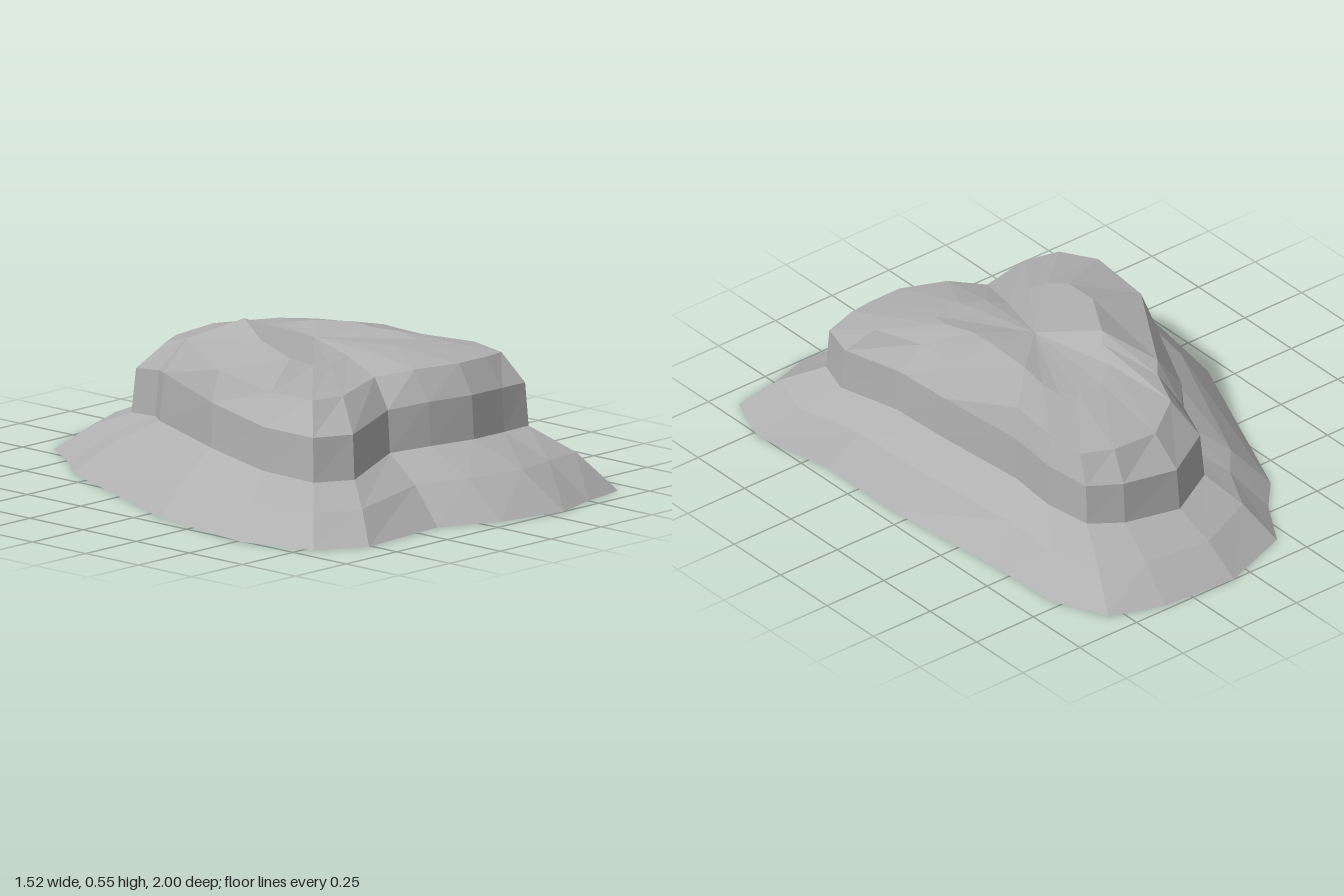
import * as THREE from 'three';

// Outline rings as [x, y, z], running back -> left flank -> front -> right flank
const base = [
  [0.07, -1], [0.36, -0.98], [0.55, -0.91], [0.64, -0.71], [0.65, -0.45],
  [0.7, 0.08], [0.7, 0.42], [0.76, 0.72], [0.68, 0.92], [0.5, 0.95],
  [0.33, 1], [0.07, 0.95], [-0.14, 0.85], [-0.51, 0.88], [-0.68, 0.78],
  [-0.76, 0.52], [-0.69, 0.07], [-0.41, -0.61], [-0.31, -0.72], [-0.2, -0.9],
].map(([x, z]) => [x, 0, z]);

const foot = [
  [0.08, 0.15, -0.72], [0.29, 0.16, -0.68], [0.4, 0.165, -0.61], [0.44, 0.18, -0.45], [0.44, 0.2, -0.28],
  [0.5, 0.23, 0.05], [0.51, 0.23, 0.28], [0.56, 0.22, 0.52], [0.51, 0.215, 0.66], [0.4, 0.21, 0.65],
  [0.25, 0.21, 0.65], [0.09, 0.205, 0.6], [-0.05, 0.195, 0.54], [-0.33, 0.165, 0.64], [-0.46, 0.165, 0.57],
  [-0.51, 0.185, 0.38], [-0.43, 0.2, 0.06], [-0.23, 0.19, -0.37], [-0.16, 0.18, -0.46], [-0.11, 0.16, -0.62],
];

const rim = [
  [0.09, 0.4, -0.6], [0.27, 0.41, -0.6], [0.38, 0.41, -0.55], [0.41, 0.435, -0.42], [0.41, 0.46, -0.25],
  [0.43, 0.485, 0.05], [0.43, 0.48, 0.24], [0.49, 0.475, 0.42], [0.47, 0.465, 0.57], [0.38, 0.465, 0.58],
  [0.25, 0.465, 0.58], [0.09, 0.46, 0.52], [-0.02, 0.44, 0.44], [-0.24, 0.42, 0.5], [-0.36, 0.42, 0.47],
  [-0.42, 0.435, 0.33], [-0.37, 0.46, 0.04], [-0.14, 0.47, -0.33], [-0.1, 0.45, -0.38], [-0.06, 0.42, -0.5],
];

// Heights of the uneven plateau between the rim and its sunken centre
const plateauY = [0.46, 0.46, 0.465, 0.48, 0.5, 0.52, 0.515, 0.51, 0.5, 0.5,
  0.5, 0.49, 0.475, 0.47, 0.475, 0.495, 0.525, 0.55, 0.52, 0.475];
const hub = [0.1, 0.495, 0.04];

const mix = (a, b, t) => a + (b - a) * t;
// Ring between two others, with separate blends across and up
const between = (a, b, t, ty) => a.map((p, i) =>
  [mix(p[0], b[i][0], t), mix(p[1], b[i][1], ty), mix(p[2], b[i][2], t)]);

function addSurface(group, name, material, rings, centre, flip = false) {
  const pos = [];
  const n = rings[0].length;
  for (let i = 0; i < n; i++) {
    const j = (i + 1) % n;
    for (let k = 0; k + 1 < rings.length; k++) {
      const [lo, hi] = [rings[k], rings[k + 1]];
      pos.push(...lo[j], ...lo[i], ...hi[i], ...lo[j], ...hi[i], ...hi[j]);
    }
    if (centre) {
      const last = rings[rings.length - 1];
      pos.push(...last[flip ? i : j], ...last[flip ? j : i], ...centre);
    }
  }
  const geometry = new THREE.BufferGeometry();
  geometry.setAttribute('position', new THREE.Float32BufferAttribute(pos, 3));
  geometry.computeVertexNormals(); // unshared corners keep facets flat
  const mesh = new THREE.Mesh(geometry, material);
  mesh.name = name;
  group.add(mesh);
}

export function createModel() {
  const group = new THREE.Group();
  group.name = 'mesaRock';
  const stone = new THREE.MeshStandardMaterial({ color: 0xb0b0b0, flatShading: true });
  stone.name = 'grey stone';

  const slope = between(base, foot, 0.47, 0.6);
  const cliff = between(foot, rim, 0.13, 0.6);
  const plateau = rim.map((p, i) =>
    [mix(hub[0], p[0], 0.55), plateauY[i], mix(hub[2], p[2], 0.55)]);

  addSurface(group, 'lowerSlope', stone, [base, slope, foot]);
  addSurface(group, 'cliffWall', stone, [foot, cliff, rim]);
  addSurface(group, 'plateau', stone, [rim, plateau], hub);
  addSurface(group, 'underside', stone, [base], [hub[0], 0, hub[2]], true);
  return group;
}
